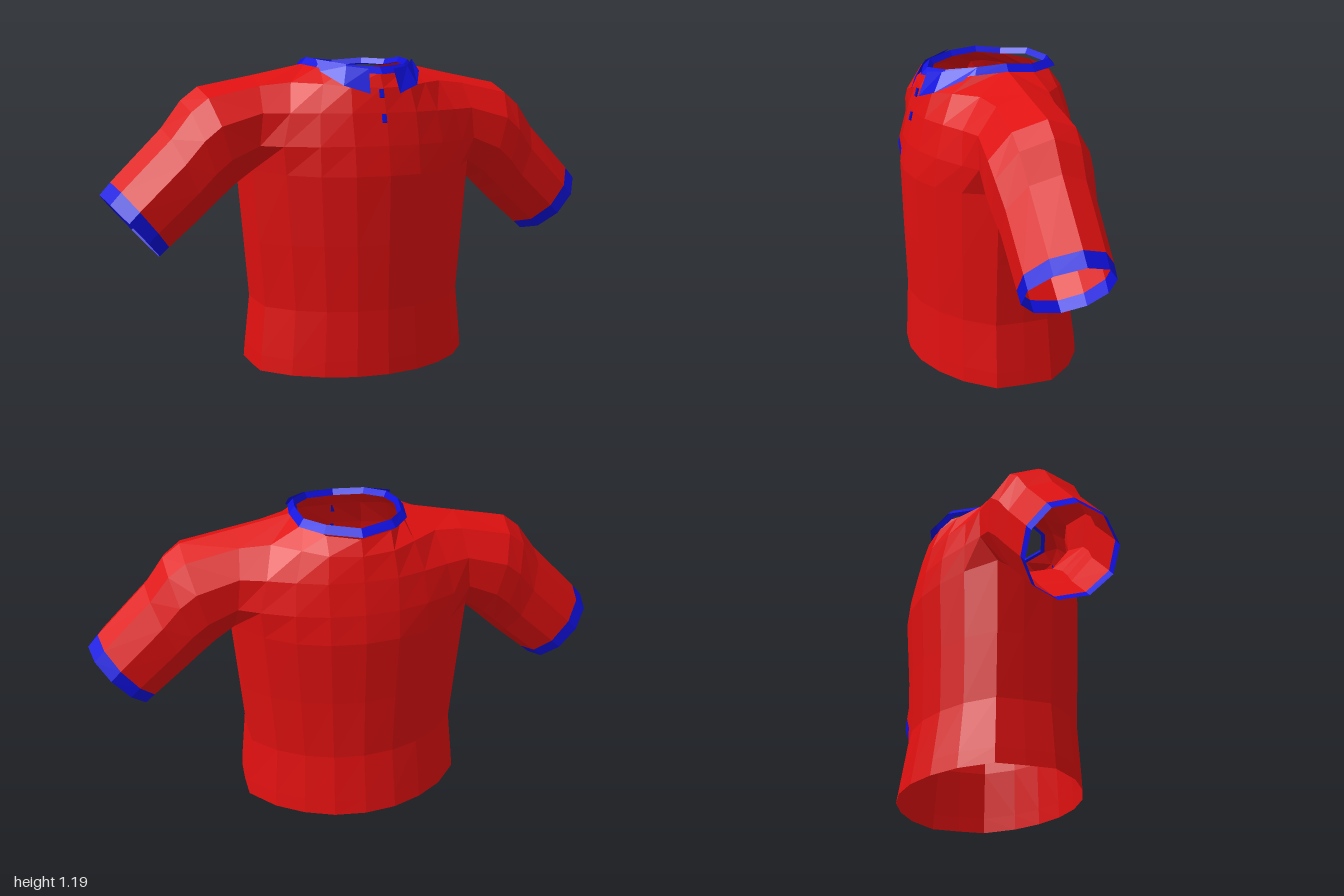
import * as THREE from 'three';

const red = new THREE.MeshStandardMaterial({ color: 0xe01010, side: THREE.DoubleSide });
red.name = 'red cloth';
const blue = new THREE.MeshStandardMaterial({ color: 0x1010e0, side: THREE.DoubleSide });
blue.name = 'blue trim';

const BACK = 0.93; // depth of the back relative to the front

// Faceted surface through rows of [x, y, z] points
function sheet(name, rows, material, closed = false) {
  const pos = [];
  for (let r = 0; r < rows.length - 1; r++) {
    const n = rows[r].length;
    for (let c = 0; c < (closed ? n : n - 1); c++) {
      const d = (c + 1) % n;
      const [p, q, s, t] = [rows[r][c], rows[r][d], rows[r + 1][d], rows[r + 1][c]];
      pos.push(...p, ...q, ...s, ...p, ...s, ...t);
    }
  }
  const geo = new THREE.BufferGeometry();
  geo.setAttribute('position', new THREE.Float32BufferAttribute(pos, 3));
  geo.computeVertexNormals();
  const mesh = new THREE.Mesh(geo, material);
  mesh.name = name;
  return mesh;
}

// Mirroring helpers for point rows
const flip = (row) => row.map(([x, y, z]) => [-x, y, z]).reverse();
const fullRow = (half) => [...flip(half.slice(1)), ...half];
const backRow = (row, k = BACK) => row.map(([x, y, z]) => [x, y, -z * k]).reverse();

// Ten-sided sleeve section from its top point, bottom point and depth
function sleeveRing([tx, ty, bx, by, zf, zb]) {
  return Array.from({ length: 10 }, (_, i) => {
    const a = (i / 10) * Math.PI * 2, c = Math.cos(a), s = Math.sin(a);
    return [(tx + bx) / 2 + (tx - bx) / 2 * c, (ty + by) / 2 + (ty - by) / 2 * c, s * (s > 0 ? zf : zb)];
  });
}

export function createModel() {
  const shirt = new THREE.Group();
  shirt.name = 'shirt';

  // Armhole loop shared by the chest panels and the sleeves
  const armhole = sleeveRing([0.42, 1.125, 0.46, 0.74, 0.19, 0.19 * BACK]);
  const armpit = armhole[5];

  // Chest rows from centre to armhole, rising to the neckline and shoulder seam
  const halves = [
    [[0, 0.76, 0.35], [0.13, 0.76, 0.335], [0.25, 0.76, 0.29], [0.36, 0.765, 0.22], armhole[4]],
    [[0, 0.87, 0.335], [0.13, 0.87, 0.322], [0.25, 0.87, 0.283], [0.37, 0.87, 0.222], armhole[3]],
    [[0, 0.99, 0.307], [0.13, 0.99, 0.295], [0.24, 0.99, 0.255], [0.34, 0.99, 0.21], armhole[2]],
    [[0, 1.08, 0.28], [0.12, 1.085, 0.262], [0.21, 1.095, 0.21], [0.31, 1.1, 0.135], armhole[1]],
    [[0, 1.135, 0.25], [0.12, 1.145, 0.21], [0.185, 1.16, 0.11], [0.2, 1.17, 0], armhole[0]],
  ];
  const front = halves.map(fullRow);
  const back = front.map((row) => backRow(row));
  shirt.add(sheet('frontYoke', front, red), sheet('backYoke', back, red));

  // Body tube: height, width, front depth and back depth factors
  const bodyRing = ([y, sx, zf, zb]) => {
    const at = (row, k) => row.map(([x, , z]) => [x * sx, y, z * k]);
    return [...at(front[0], zf), [armpit[0] * sx, y, 0], ...at(back[0], zb), [-armpit[0] * sx, y, 0]];
  };
  const bodyTop = [...front[0], armpit, ...back[0], [-armpit[0], armpit[1], 0]];
  const lower = [[0, 0.955, 0.98, 1.06], [0.06, 0.945, 0.975, 1.03], [0.25, 0.905, 0.955, 0.935], [0.5, 0.95, 0.98, 0.95]];
  shirt.add(sheet('body', [...lower.map(bodyRing), bodyTop], red, true));

  // Sleeves and cuffs
  const sleeve = [
    armhole,
    ...[
      [0.63, 1.085, 0.52, 0.69, 0.205, 0.18],
      [0.695, 1.035, 0.575, 0.64, 0.2, 0.17],
      [0.77, 0.935, 0.63, 0.59, 0.185, 0.155],
      [0.96, 0.745, 0.755, 0.485, 0.18, 0.148],
      [1.0, 0.7, 0.79, 0.455, 0.178, 0.145],
    ].map(sleeveRing),
  ];
  // Collar flaps lying over the front of the neckline
  const flap = [
    [[0.06, 1.06, 0.3], [0.15, 1.09, 0.262], [0.205, 1.14, 0.165]],
    [[0.05, 1.15, 0.262], [0.125, 1.16, 0.225], [0.2, 1.185, 0.11]],
  ];
  for (const [side, m] of [['left', (r) => r], ['right', flip]]) {
    const rows = sleeve.map(m);
    shirt.add(
      sheet(side + 'Sleeve', rows.slice(0, 5), red, true),
      sheet(side + 'Cuff', rows.slice(4), blue, true),
      sheet(side + 'CollarFlap', flap.map(m), blue),
    );
  }

  // Collar band folded over the neck opening
  const neckFront = fullRow(halves[4].slice(0, 4));
  const neck = [...neckFront, ...backRow(neckFront).slice(1, -1)];
  const band = [[1.1, -0.005], [0.99, 0.022], [0.93, 0]].map(([s, dy]) =>
    neck.map(([x, y, z]) => [x * s, y + dy + (z < -0.15 ? 0.02 : 0), z * s]));
  shirt.add(sheet('collarBand', band, blue, true));

  // Buttons
  for (const [y, z] of [[1.06, 0.289], [0.97, 0.314]]) {
    const button = new THREE.Mesh(new THREE.BoxGeometry(0.016, 0.032, 0.008), blue);
    button.name = 'button';
    button.position.set(-0.01, y, z);
    button.rotation.x = -0.26;
    shirt.add(button);
  }
  return shirt;
}
